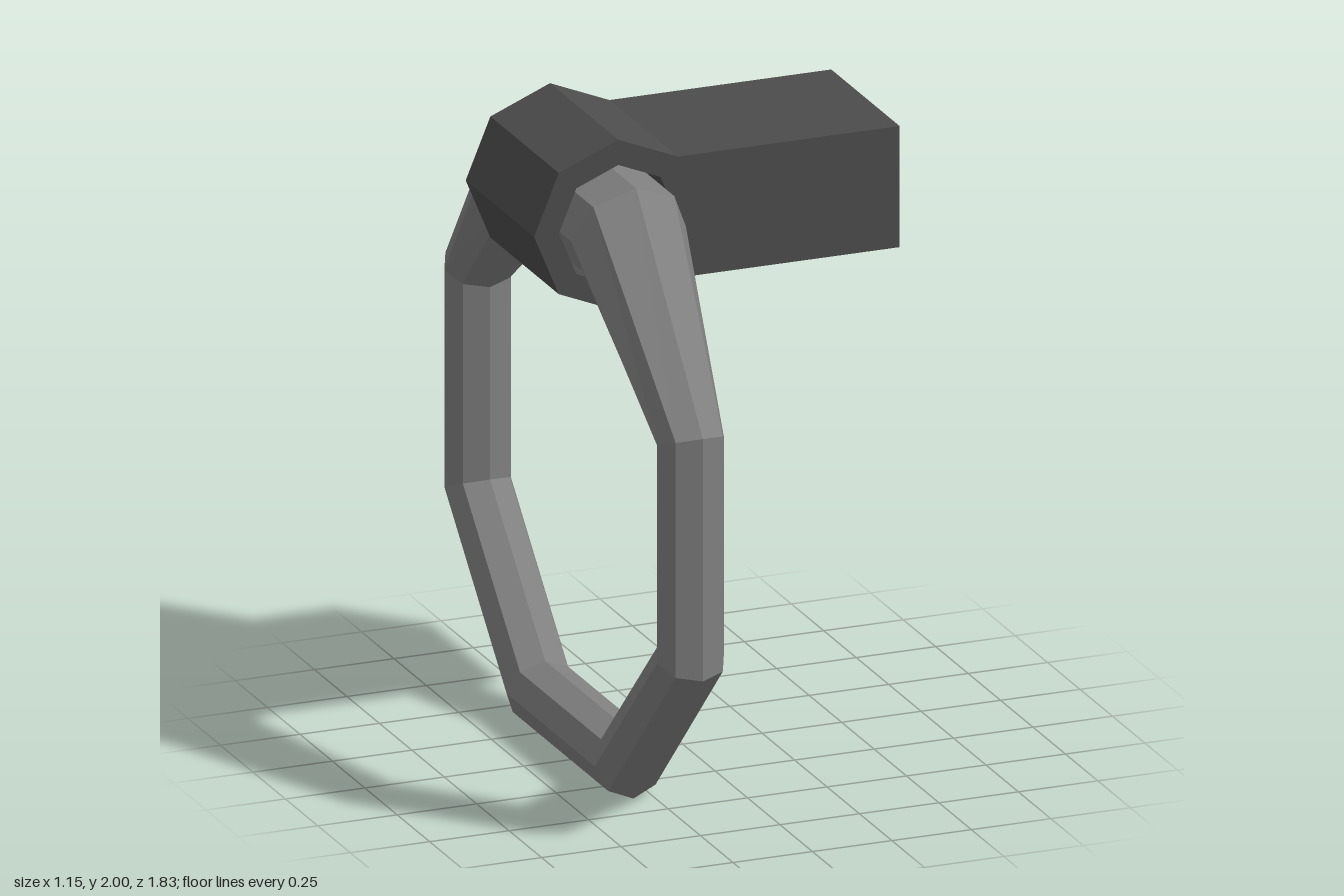
import * as THREE from 'three';

const AXIS_X = -0.31, AXIS_Y = 1.735;

// Eight-sided closed ring, swept through mitred bends in the z-y plane
function ringGeometry() {
  // [outer z, outer y, inner z, inner y, half width in x]
  const half = [
    [0.40, 1.895, 0.285, 1.575, 0.18],
    [0.915, 1.29, 0.725, 1.215, 0.105],
    [0.915, 0.54, 0.725, 0.62, 0.105],
    [0.38, 0, 0.30, 0.2, 0.105],
  ];
  const mirrored = half.map(([oz, oy, iz, iy, w]) => [-oz, oy, -iz, iy, w]).reverse();
  const bends = [...half, ...mirrored];
  const sides = 8, positions = [], index = [];
  bends.forEach(([oz, oy, iz, iy, w], i) => {
    for (let j = 0; j < sides; j++) {
      const a = (j / sides) * Math.PI * 2, c = Math.cos(a) / 2;
      positions.push(
        AXIS_X + w * Math.sin(a),
        (oy + iy) / 2 + (oy - iy) * c,
        (oz + iz) / 2 + (oz - iz) * c,
      );
      const k = (j + 1) % sides, n = ((i + 1) % bends.length) * sides;
      const p = i * sides + j, q = i * sides + k;
      index.push(p, n + j, q, q, n + j, n + k);
    }
  });
  const geometry = new THREE.BufferGeometry();
  geometry.setAttribute('position', new THREE.Float32BufferAttribute(positions, 3));
  geometry.setIndex(index);
  geometry.computeVertexNormals();
  return geometry;
}

// Corners of an octagon around the hinge axis, starting at upper right
function octagon(radius) {
  return Array.from({ length: 8 }, (_, i) => {
    const a = Math.PI / 4 + (i * Math.PI) / 4;
    return new THREE.Vector2(AXIS_X + radius * Math.cos(a), AXIS_Y + radius * Math.sin(a));
  });
}

// Octagonal eye with a square-ended arm in place of its right corner
function bracketGeometry() {
  const eye = octagon(0.265).slice(0, 7);
  const shape = new THREE.Shape([
    ...eye,
    new THREE.Vector2(0.575, eye[6].y),
    new THREE.Vector2(0.575, eye[0].y),
  ]);
  shape.holes.push(new THREE.Path(octagon(0.187)));
  const depth = 0.527;
  return new THREE.ExtrudeGeometry(shape, { depth, bevelEnabled: false }).translate(0, 0, -depth / 2);
}

export function createModel() {
  const group = new THREE.Group();
  const add = (name, geometry, color) => {
    const mesh = new THREE.Mesh(geometry, new THREE.MeshStandardMaterial({ color, flatShading: true }));
    mesh.name = name;
    group.add(mesh);
  };
  add('ring', ringGeometry(), 0x808080);
  add('bracket', bracketGeometry(), 0x4c4c4c);
  return group;
}
